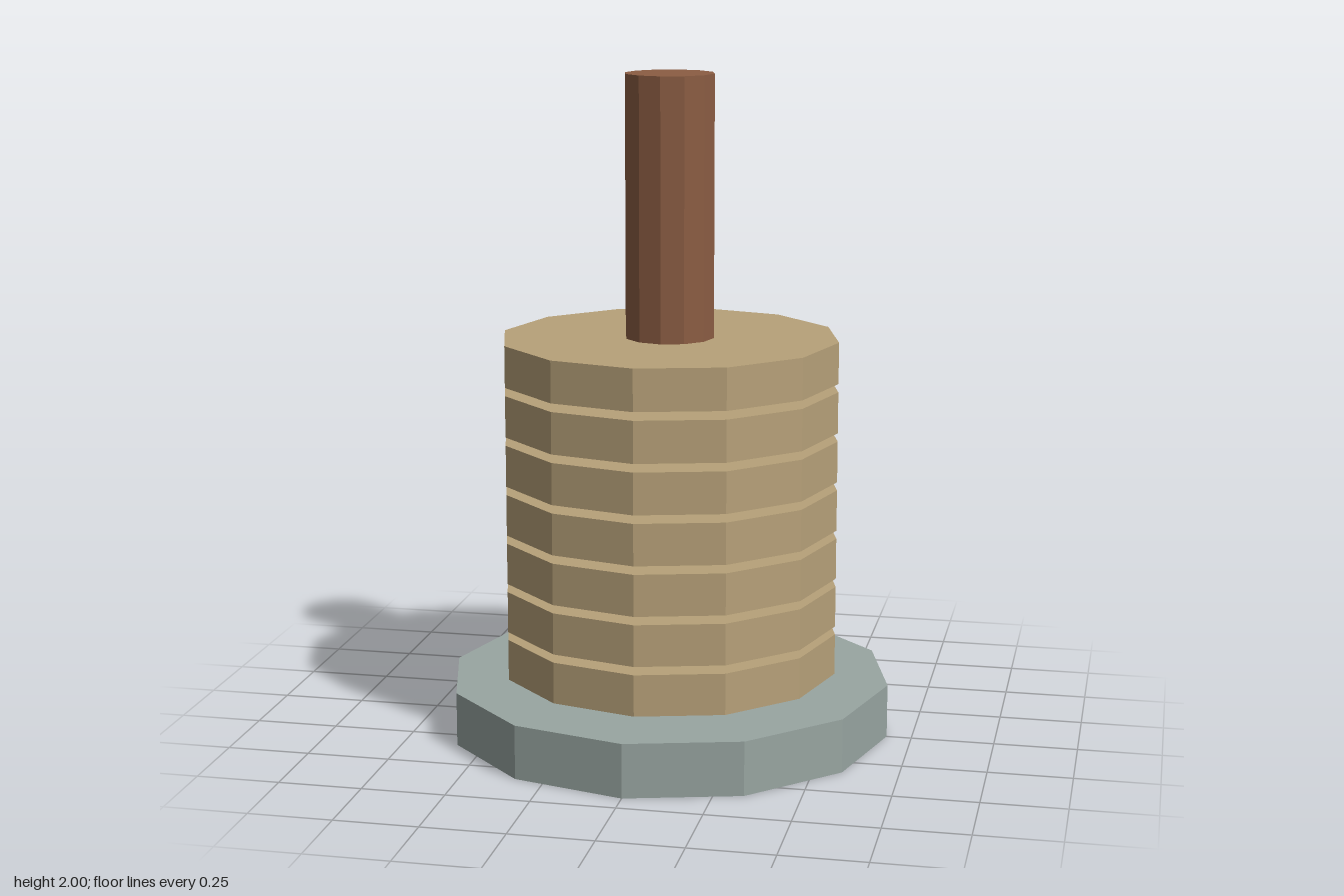
import * as THREE from 'three';

const SIDES = 12;

export function createModel() {
  const model = new THREE.Group();
  model.name = 'ringStack';

  const material = (name, color) => {
    const m = new THREE.MeshStandardMaterial({ color, flatShading: true });
    m.name = name;
    return m;
  };
  const stone = material('greyStone', 0x98a5a1);
  const wood = material('brownWood', 0x8b5d43);
  const tan = material('tanRope', 0xb7a179);

  // Upright twelve-sided prism spanning bottom to top
  const prism = (name, radius, bottom, top, mat) => {
    const mesh = new THREE.Mesh(
      new THREE.CylinderGeometry(radius, radius, top - bottom, SIDES), mat);
    mesh.name = name;
    mesh.position.y = (bottom + top) / 2;
    model.add(mesh);
  };

  // Base slab and central post (post starts just inside the slab)
  prism('base', 0.675, 0, 0.163, stone);
  prism('post', 0.135, 0.004, 2, wood);

  // Seven evenly spaced discs around the post
  for (let i = 0; i < 7; i++) {
    const bottom = 0.189 + i * 0.15;
    prism(`disc${i + 1}`, 0.512, bottom, bottom + 0.125, tan);
  }

  return model;
}
